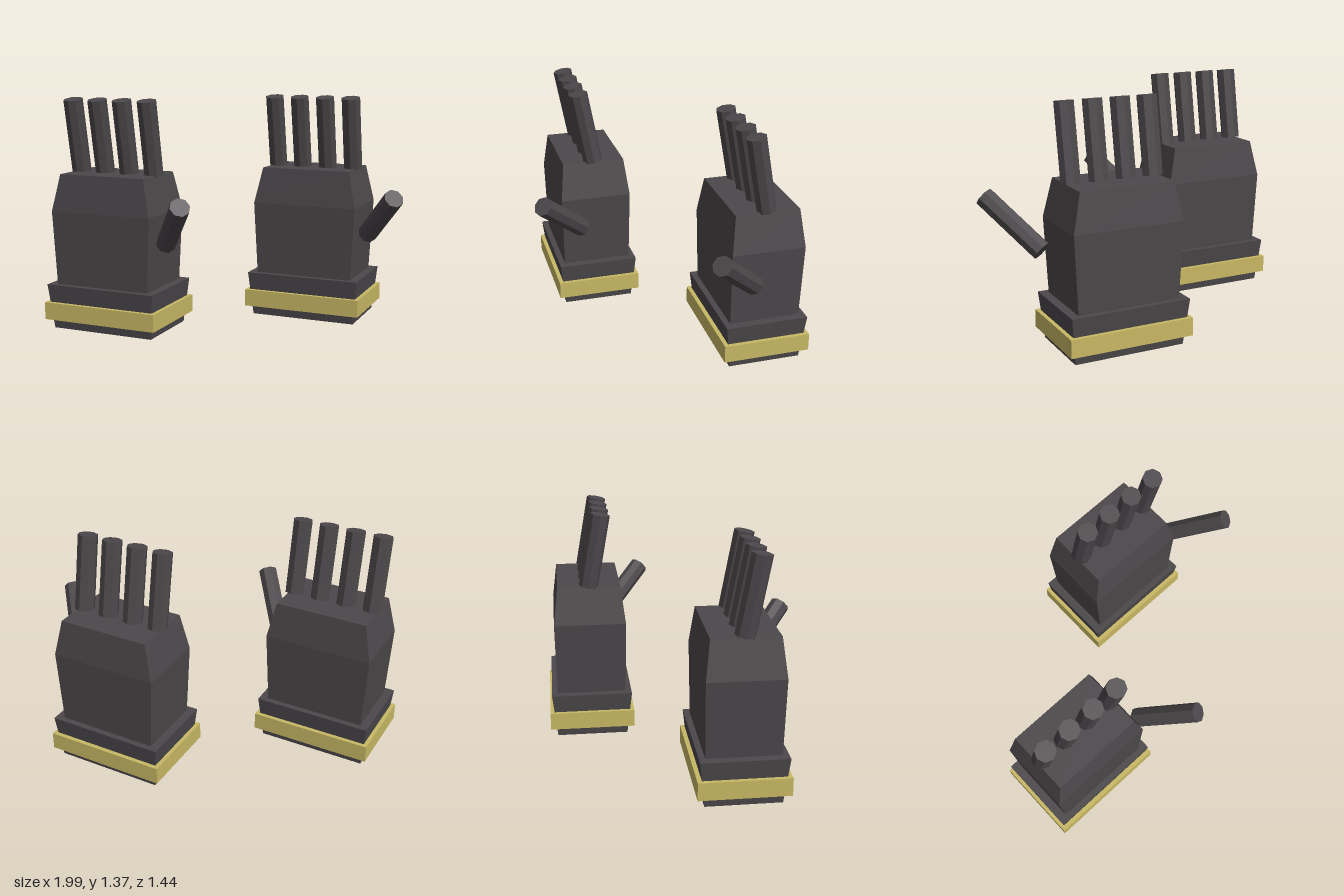
import * as THREE from 'three';

const darkGrey = new THREE.MeshStandardMaterial({ color: 0x4b474a, flatShading: true });
darkGrey.name = 'dark grey';
const gold = new THREE.MeshStandardMaterial({ color: 0xc8b864, flatShading: true });
gold.name = 'gold';

// Closed solid through rectangular sections, each [y, halfWidth, halfDepth]
function rectLoft(sections) {
  const positions = [];
  const index = [];
  for (const [y, w, d] of sections) positions.push(-w, y, d, w, y, d, w, y, -d, -w, y, -d);
  for (let s = 0; s < sections.length - 1; s++) {
    for (let i = 0; i < 4; i++) {
      const a = s * 4 + i;
      const b = s * 4 + (i + 1) % 4;
      index.push(a, b, b + 4, a, b + 4, a + 4);
    }
  }
  const t = (sections.length - 1) * 4;
  index.push(0, 2, 1, 0, 3, 2, t, t + 1, t + 2, t, t + 2, t + 3);
  const indexed = new THREE.BufferGeometry();
  indexed.setAttribute('position', new THREE.Float32BufferAttribute(positions, 3));
  indexed.setIndex(index);
  const geometry = indexed.toNonIndexed();
  geometry.computeVertexNormals();
  return geometry;
}

function addPart(parent, name, geometry, material) {
  const mesh = new THREE.Mesh(geometry, material);
  mesh.name = name;
  parent.add(mesh);
  return mesh;
}

const palmGeometry = rectLoft([[0.2, 0.297, 0.207], [0.71, 0.323, 0.215], [0.93, 0.275, 0.188]]);
const cuffGeometry = rectLoft([[0, 0.325, 0.214], [0.27, 0.352, 0.243]]);
const bandGeometry = new THREE.BoxGeometry(0.73, 0.104, 0.513);
const fingerGeometry = new THREE.CylinderGeometry(0.058, 0.058, 0.442, 8);

function createGlove(name, x, z) {
  const glove = new THREE.Group();
  glove.name = name;
  glove.position.set(x, 0, z);

  addPart(glove, 'palm', palmGeometry, darkGrey);
  addPart(glove, 'cuff', cuffGeometry, darkGrey);
  addPart(glove, 'cuffBand', bandGeometry, gold).position.y = 0.11;

  // Four fingers leaning forward
  for (let i = 0; i < 4; i++) {
    const finger = addPart(glove, `finger${i + 1}`, fingerGeometry, darkGrey);
    finger.position.set(-0.243 + i * 0.163, 1.147, 0.038);
    finger.rotation.x = 0.18;
  }

  // Thumb pointing outward, up and forward
  const thumb = addPart(glove, 'thumb', fingerGeometry, darkGrey);
  thumb.position.set(0.488, 0.6825, 0.2415);
  const direction = new THREE.Vector3(0.51, 0.608, 0.608).normalize();
  thumb.quaternion.setFromUnitVectors(new THREE.Vector3(0, 1, 0), direction);
  return glove;
}

export function createModel() {
  const model = new THREE.Group();
  model.name = 'pairOfGloves';
  model.add(createGlove('frontGlove', -0.635, 0.297));
  model.add(createGlove('backGlove', 0.345, -0.465));
  return model;
}
